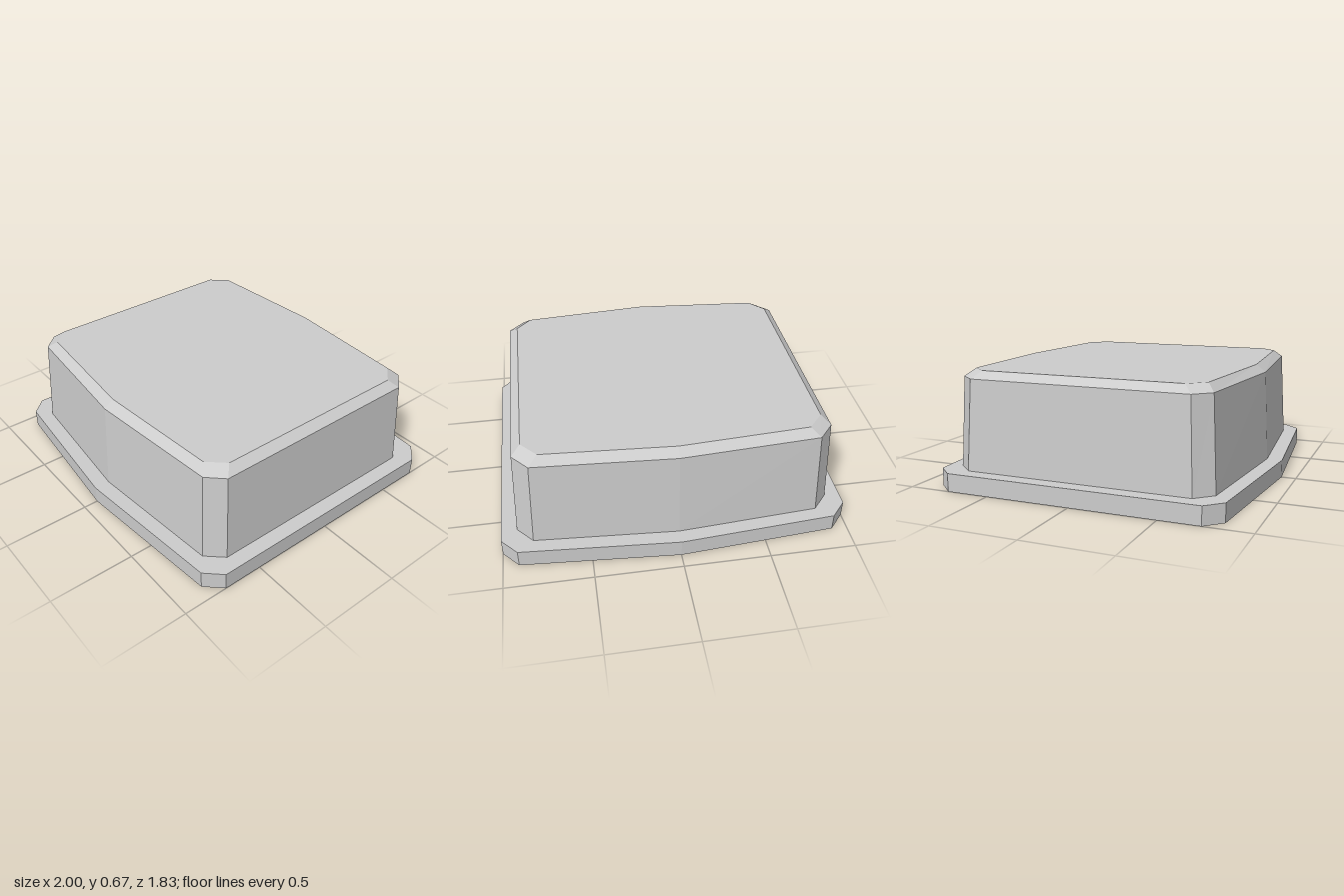
import * as THREE from 'three';

// Ten-sided outline: chamfered corners, shallow point in the middle of front and back.
// x1: half width, x2: half width at the chamfer; z values run tip, chamfer, side.
function outline(y, x1, x2, front, back) {
  const right = [[x2, front[1]], [x1, front[2]], [x1, back[2]], [x2, back[1]]];
  const left = right.map(([x, z]) => [-x, z]).reverse();
  return [[0, front[0]], ...right, [0, back[0]], ...left]
    .map(([x, z]) => new THREE.Vector3(x, y, z));
}

// Skin a stack of outlines, with optional caps
function loft(rings, capBottom, capTop) {
  const points = [];
  const tri = (a, b, c) => points.push(a, b, c);
  for (let r = 0; r < rings.length - 1; r++) {
    const a = rings[r], b = rings[r + 1], n = a.length;
    for (let i = 0; i < n; i++) {
      const j = (i + 1) % n;
      tri(a[i], a[j], b[j]);
      tri(a[i], b[j], b[i]);
    }
  }
  const cap = (ring, up) => {
    for (let i = 1; i < ring.length - 1; i++) {
      if (up) tri(ring[0], ring[i], ring[i + 1]);
      else tri(ring[0], ring[i + 1], ring[i]);
    }
  };
  if (capBottom) cap(rings[0], false);
  if (capTop) cap(rings[rings.length - 1], true);
  const geometry = new THREE.BufferGeometry().setFromPoints(points);
  geometry.computeVertexNormals();
  return geometry;
}

export function createModel() {
  const group = new THREE.Group();
  group.name = 'flangedCover';
  const grey = new THREE.MeshStandardMaterial({ color: 0xcccccc });
  grey.name = 'light grey';
  grey.flatShading = true;

  const rim = y => outline(y, 1, 0.91, [0.915, 0.83, 0.735], [-0.915, -0.85, -0.752]);
  const foot = outline(0.105, 0.91, 0.82, [0.825, 0.752, 0.655], [-0.83, -0.775, -0.675]);
  const shoulder = outline(0.628, 0.885, 0.797, [0.798, 0.725, 0.633], [-0.803, -0.753, -0.653]);
  const crown = outline(0.671, 0.833, 0.745, [0.742, 0.68, 0.584], [-0.752, -0.705, -0.607]);

  // Base plate with its ledge around the body
  const flange = new THREE.Mesh(loft([rim(0), rim(0.105), foot], true, false), grey);
  flange.name = 'baseFlange';

  // Tapered body with bevelled top
  const body = new THREE.Mesh(loft([foot, shoulder, crown], false, true), grey);
  body.name = 'coverBody';

  group.add(flange, body);
  return group;
}
